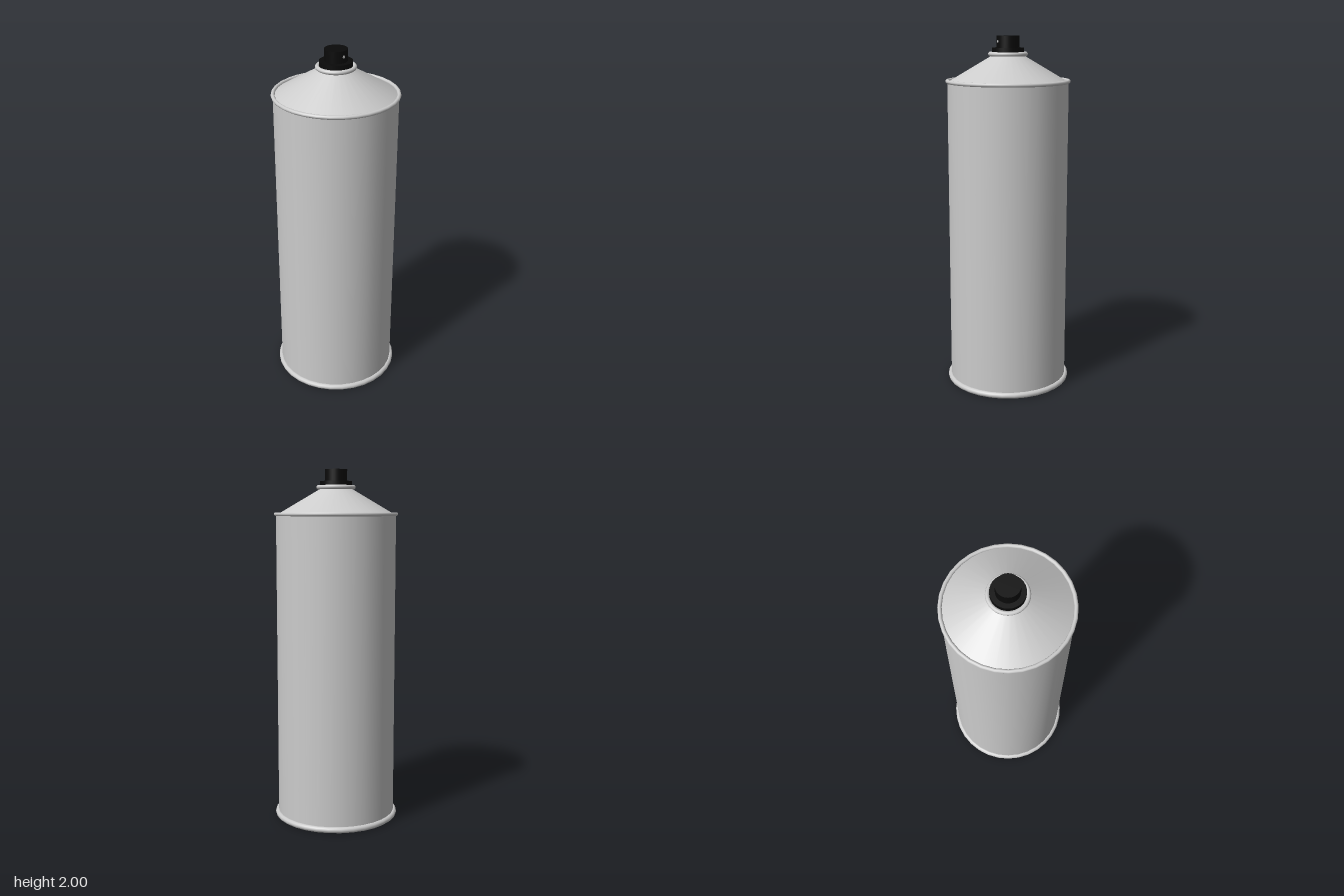
import * as THREE from 'three';

const SIDES = 32;
const metal = new THREE.MeshStandardMaterial({ color: 0xcccccc });
const black = new THREE.MeshStandardMaterial({ color: 0x0a0a0a });

export function createModel() {
  const can = new THREE.Group();
  can.name = 'sprayCan';

  const add = (name, geometry, material, y, z = 0) => {
    const mesh = new THREE.Mesh(geometry, material);
    mesh.name = name;
    mesh.position.set(0, y, z);
    can.add(mesh);
    return mesh;
  };
  // Upright frustum standing between two heights
  const drum = (name, rTop, rBottom, y0, y1, material, open = false) =>
    add(name, new THREE.CylinderGeometry(rTop, rBottom, y1 - y0, SIDES, 1, open), material, (y0 + y1) / 2);
  // Rolled metal rim lying flat
  const rim = (name, radius, tube, y) =>
    add(name, new THREE.TorusGeometry(radius, tube, 10, SIDES).rotateX(Math.PI / 2), metal, y);

  // Can body and sloping shoulder
  drum('body', 0.338, 0.338, 0.004, 1.746, metal);
  drum('shoulder', 0.085, 0.338, 1.746, 1.895, metal);

  // Seams and valve collar
  rim('bottomRim', 0.34, 0.017, 0.017);
  rim('topRim', 0.338, 0.011, 1.752);
  rim('collar', 0.099, 0.012, 1.901);

  // Spray button
  drum('capBase', 0.09, 0.09, 1.88, 1.935, black);
  drum('sprayButton', 0.063, 0.063, 1.93, 2, black);

  // Spray outlet on the front of the button
  add('outlet', new THREE.CylinderGeometry(0.007, 0.007, 0.008, 12).rotateX(Math.PI / 2), metal, 1.969, 0.061);

  return can;
}
